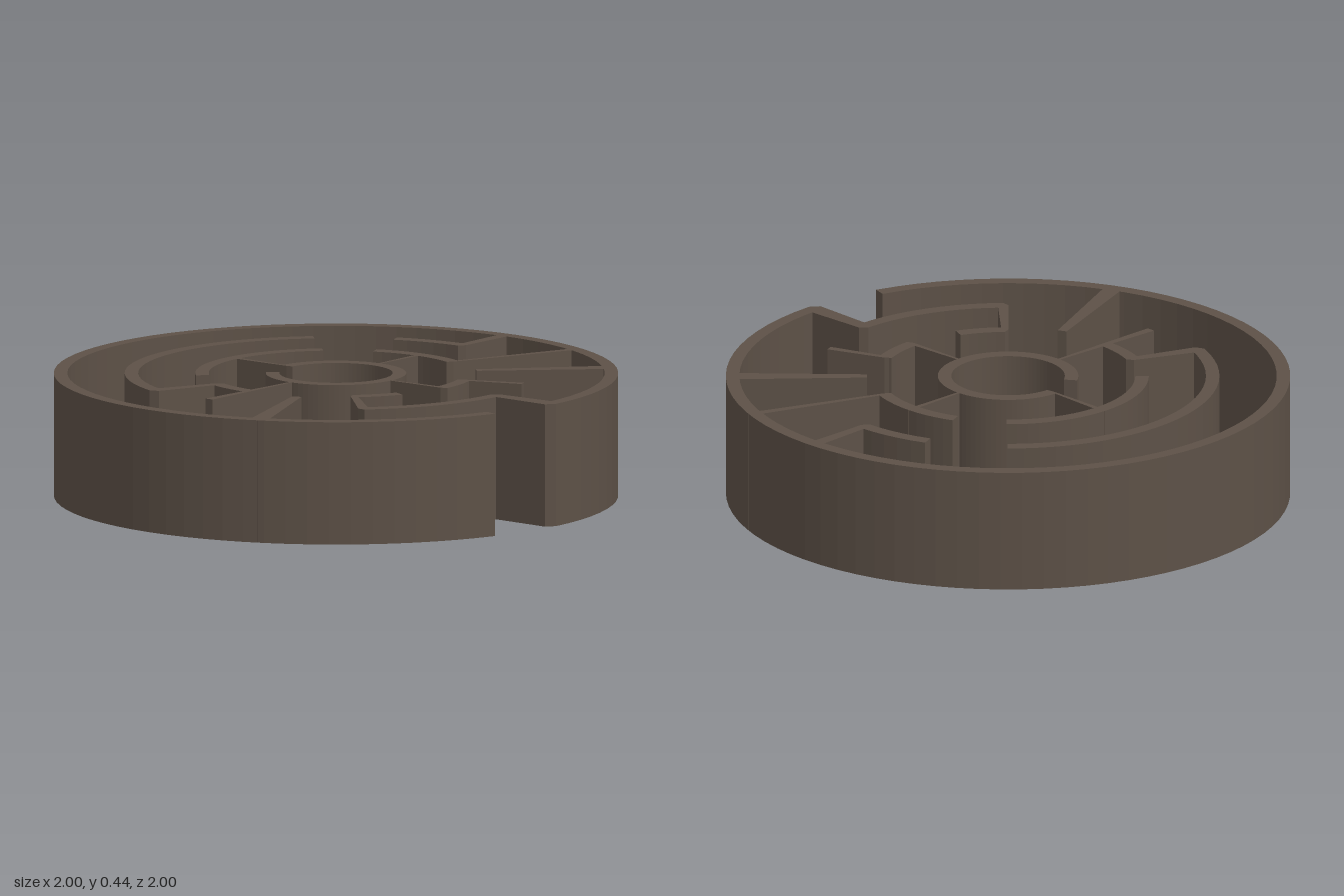
import * as THREE from 'three';

const HEIGHT = 0.44;
const HALF = 0.024; // half thickness of the ring walls
const R1 = 0.225, R2 = 0.475, R3 = 0.725, R4 = 0.976; // ring centre radii

// Angles in degrees, from +x towards +z
const polar = (r, deg) => {
  const a = THREE.MathUtils.degToRad(deg);
  return new THREE.Vector2(r * Math.cos(a), r * Math.sin(a));
};

export function createModel() {
  const group = new THREE.Group();
  const brown = new THREE.MeshStandardMaterial({ color: 0x5d5147 });
  brown.name = 'dark brown';

  // Stand a flat outline up as a wall
  function addWall(name, points) {
    const geo = new THREE.ExtrudeGeometry(new THREE.Shape(points), { depth: HEIGHT, bevelEnabled: false });
    geo.rotateX(Math.PI / 2);
    geo.translate(0, HEIGHT, 0);
    const mesh = new THREE.Mesh(geo, brown);
    mesh.name = name;
    group.add(mesh);
  }

  // Curved wall following a ring from one angle to another
  function addArc(name, r, from, to) {
    const n = Math.max(4, Math.ceil((to - from) / 4.5));
    const outer = [], inner = [];
    for (let i = 0; i <= n; i++) {
      const a = from + ((to - from) * i) / n;
      outer.push(polar(r + HALF, a));
      inner.unshift(polar(r - HALF, a));
    }
    addWall(name, [...outer, ...inner]);
  }

  // Radial wall that widens outwards; joined ends come to a mitred tip
  function addSpoke(name, angle, width, rIn, rOut, joinIn, joinOut) {
    const h = width / 2;
    const points = [polar(rIn, angle - h), polar(rOut, angle - h)];
    if (joinOut) points.push(polar(rOut + HALF, angle));
    points.push(polar(rOut, angle + h), polar(rIn, angle + h));
    if (joinIn) points.push(polar(rIn - HALF, angle));
    addWall(name, points);
  }

  // Rings, each broken by openings
  addArc('outerRing', R4, 90, 433);
  addArc('innerRing', R1, -105.5, 219);
  [[186, 298], [-39, -17.7], [73, 116.5]].forEach(([a, b], i) => addArc('thirdRingArc' + (i + 1), R3, a, b));
  [[164.6, 186], [208.5, 298.5], [-39, 4.6], [51.5, 72], [96, 116.5]].forEach(([a, b], i) =>
    addArc('secondRingArc' + (i + 1), R2, a, b));

  // Spokes: angle, angular width, inner and outer radius, joined ends
  [
    [73, 3.9, R3, R4, true, true],
    [140.4, 3.9, 0.5, R4, false, true],
    [27.6, 3.8, 0.5, R4, false, true],
    [4.6, 1.8, R2, R4, true, true],
    [-17.7, 2.7, R3, R4, true, true],
    [186, 3.9, R2, R3, true, true],
    [116.5, 3, R2, R3, true, true],
    [52, 2.3, R2, 0.695, true, false],
    [164.6, 2.7, R1, 0.695, true, false],
    [254.5, 2.6, R1, R2, true, true],
    [-17, 2.4, R1, R2, true, true],
    [72, 2.4, R1, R2, true, true],
  ].forEach((s, i) => addSpoke('spokeWall' + (i + 1), ...s));

  return group;
}
